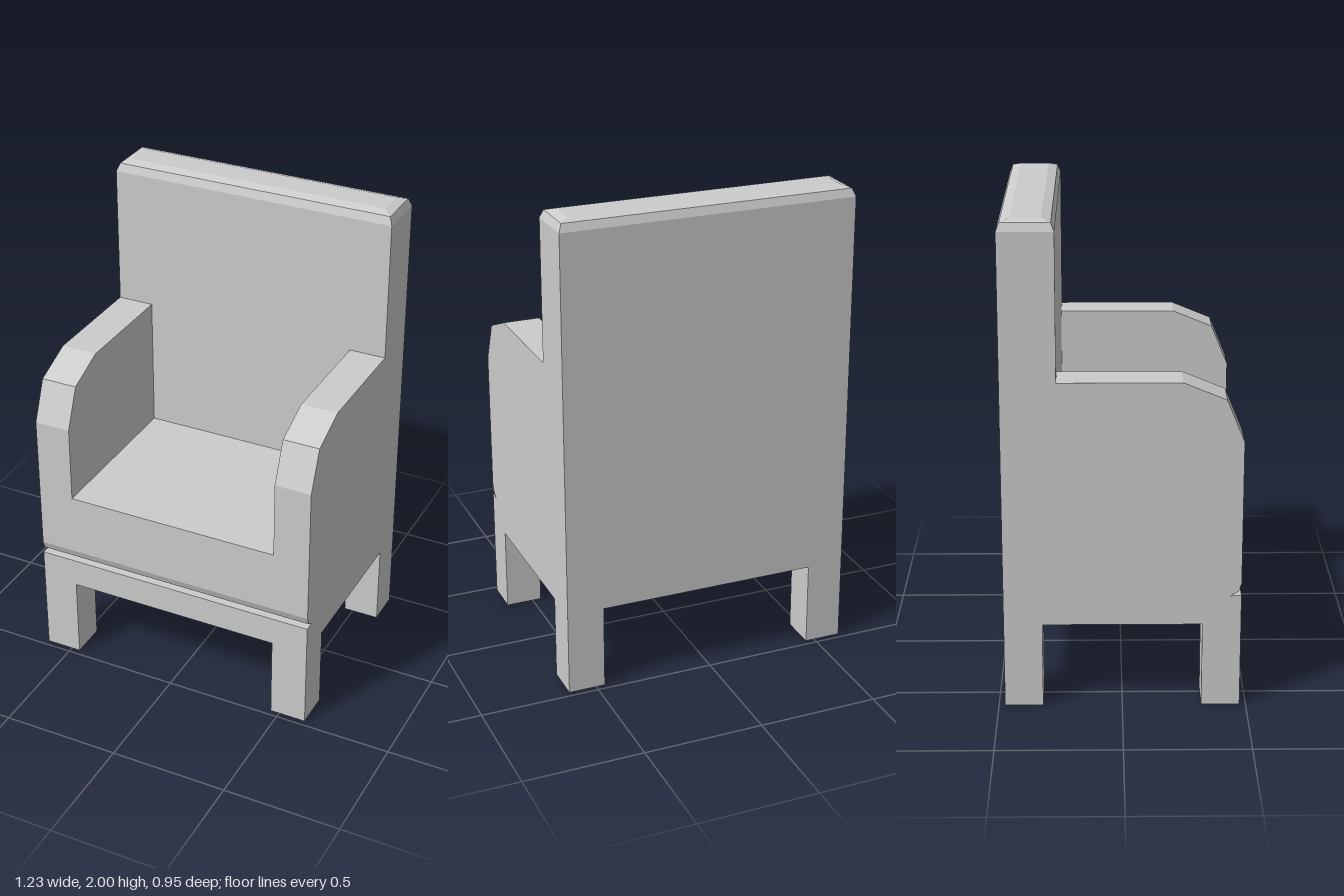
import * as THREE from 'three';

const W = 0.617, INNER = 0.462, D = 0.475, BACK_FRONT = -0.255;
const LEG_TOP = 0.355, SEAT = 0.795;

// Extrude a side profile of [z, y] points across x0..x1
function sideExtrude(points, x0, x1) {
  const shape = new THREE.Shape(points.map(([z, y]) => new THREE.Vector2(z, y)));
  const geo = new THREE.ExtrudeGeometry(shape, { depth: x1 - x0, bevelEnabled: false });
  geo.rotateY(-Math.PI / 2);
  geo.translate(x1, 0, 0);
  return geo;
}

// Join rectangles stacked in y: each ring is [y, inset]; optional top cap
function rectLoft(x0, x1, z0, z1, rings, cap) {
  const loops = rings.map(([y, i]) => [
    [x0 + i, y, z1 - i], [x1 - i, y, z1 - i], [x1 - i, y, z0 + i], [x0 + i, y, z0 + i],
  ]);
  const pos = [];
  const quad = (a, b, c, d) => pos.push(...a, ...b, ...c, ...a, ...c, ...d);
  for (let r = 0; r + 1 < loops.length; r++) {
    for (let k = 0; k < 4; k++) {
      const n = (k + 1) % 4;
      quad(loops[r][k], loops[r][n], loops[r + 1][n], loops[r + 1][k]);
    }
  }
  if (cap) quad(...loops[loops.length - 1]);
  const geo = new THREE.BufferGeometry();
  geo.setAttribute('position', new THREE.Float32BufferAttribute(pos, 3));
  geo.computeVertexNormals();
  return geo;
}

export function createModel() {
  const group = new THREE.Group();
  const grey = new THREE.MeshStandardMaterial({ color: 0xcccccc, side: THREE.DoubleSide });
  grey.name = 'grey';
  const add = (name, geo) => {
    const mesh = new THREE.Mesh(geo, grey);
    mesh.name = name;
    group.add(mesh);
  };

  // Frame and seat block, with the groove across the front
  add('seat', sideExtrude([
    [-D, LEG_TOP], [D, LEG_TOP], [D, 0.478], [0.43, 0.478],
    [0.462, 0.495], [D, 0.53], [D, SEAT], [-D, SEAT],
  ], -W, W));

  // Backrest with a rounded top edge
  add('backrest', rectLoft(-W, W, -D, BACK_FRONT,
    [[SEAT, 0], [1.955, 0], [1.988, 0.013], [2, 0.05]], true));

  // Armrests and hollow, open-ended legs
  const arm = [
    [BACK_FRONT, SEAT], [D, SEAT], [D, 1.125],
    [0.405, 1.295], [0.235, 1.365], [BACK_FRONT, 1.365],
  ];
  for (const [side, x0, x1] of [['left', INNER, W], ['right', -W, -INNER]]) {
    add(side + 'Armrest', sideExtrude(arm, x0, x1));
    for (const [end, z0, z1] of [['Front', 0.32, D], ['Back', -D, -0.32]]) {
      add(side + end + 'Leg', rectLoft(x0, x1, z0, z1, [[0, 0], [LEG_TOP, 0]], false));
    }
  }
  return group;
}
